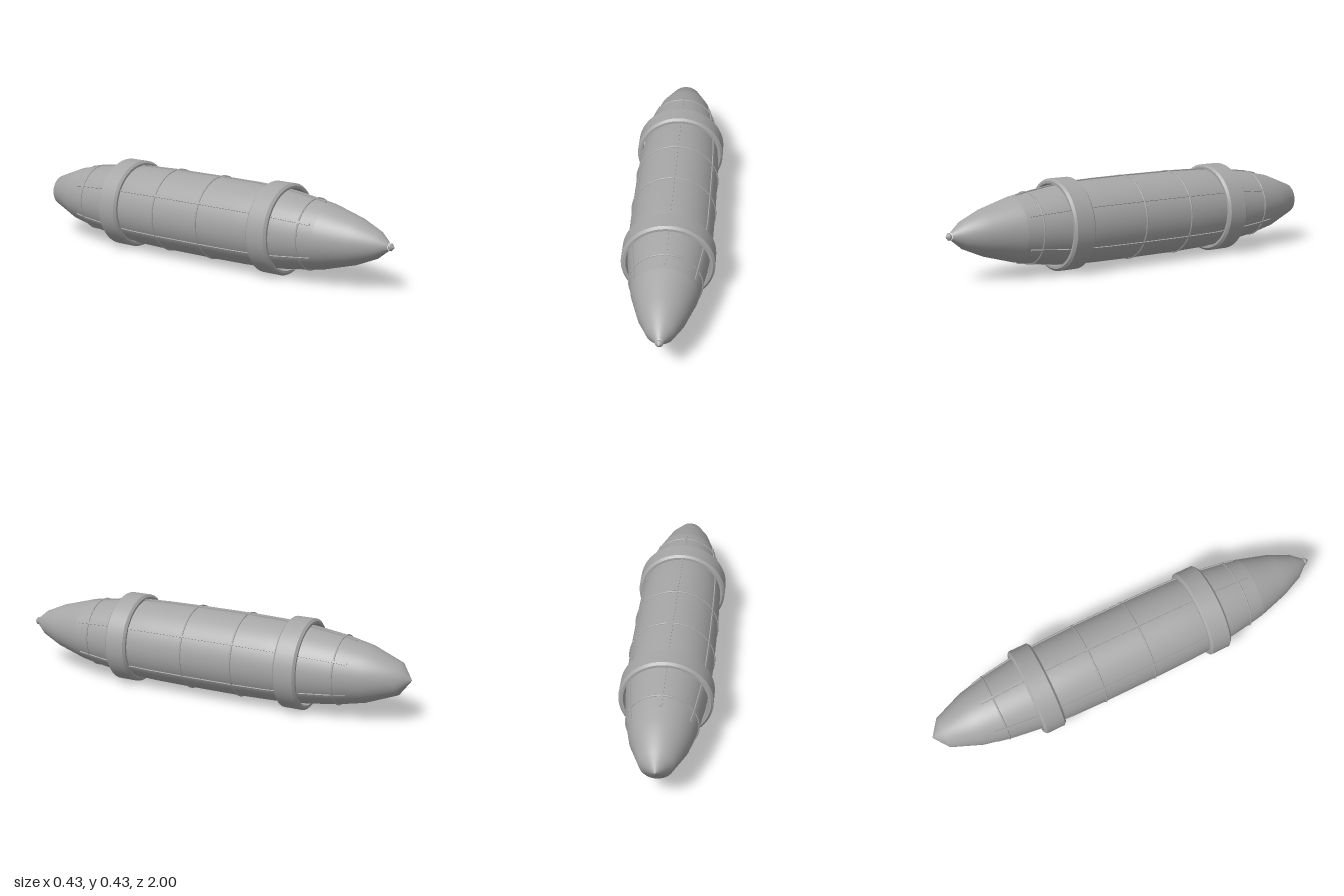
import * as THREE from 'three';

const AXIS_Y = 0.213;

// Hull silhouette as [z, radius], back to front
const BACK = [[-1, 0], [-0.945, 0.075], [-0.8, 0.132], [-0.67, 0.16]];
const MIDDLE = [[-0.67, 0.16], [-0.52, 0.18], [-0.36, 0.192], [-0.2, 0.196], [0.07, 0.196],
  [0.25, 0.194], [0.36, 0.19], [0.47, 0.18], [0.6, 0.161], [0.67, 0.149]];
const FRONT = [[0.67, 0.149], [0.82, 0.106], [0.92, 0.062], [0.975, 0.017]];
const HULL = [...BACK, ...MIDDLE.slice(1), ...FRONT.slice(1)];

// Hull radius at a given z
function radiusAt(z) {
  for (let i = 1; i < HULL.length; i++) {
    const [z0, r0] = HULL[i - 1], [z1, r1] = HULL[i];
    if (z <= z1) return r0 + (r1 - r0) * (z - z0) / (z1 - z0);
  }
  return 0;
}

export function createModel() {
  const model = new THREE.Group();
  const hullGrey = new THREE.MeshStandardMaterial({ color: 0xa6a6a6 });
  hullGrey.name = 'hull grey';

  const body = new THREE.Group();
  body.name = 'body';
  body.position.y = AXIS_Y;
  model.add(body);

  function add(name, geometry, parent = body) {
    const mesh = new THREE.Mesh(geometry, hullGrey);
    mesh.name = name;
    parent.add(mesh);
    return mesh;
  }

  // Surface turned about the z axis from [z, radius] points
  function turned(points, segments = 64) {
    const lathe = new THREE.LatheGeometry(points.map(([z, r]) => new THREE.Vector2(r, z)), segments);
    return lathe.rotateX(Math.PI / 2);
  }

  // Hard-edged turned surface: one lathe strip per profile segment
  function turnedSharp(name, points) {
    const group = new THREE.Group();
    group.name = name;
    for (let i = 1; i < points.length; i++) add(name + 'Face', turned([points[i - 1], points[i]]), group);
    body.add(group);
  }

  // Hull sections
  add('tailCone', turned(BACK));
  add('hullBarrel', turned(MIDDLE));
  add('noseCone', turned(FRONT));
  turnedSharp('noseTip', [[0.972, 0.008], [0.979, 0.017], [0.986, 0.017], [1, 0]]);

  // Two bevelled collars standing just off the hull
  for (const z of [-0.465, 0.41]) {
    const h = 0.055;
    turnedSharp('collar', [
      [z - h, 0.191], [z - h, 0.202], [z - h + 0.01, 0.213], [z + h - 0.01, 0.213],
      [z + h, 0.202], [z + h, 0.191], [z - h, 0.191],
    ]);
  }

  // Thin hoops around the hull
  for (const z of [-0.677, -0.193, 0.066, 0.595]) {
    const hoop = add('hoop', new THREE.TorusGeometry(radiusAt(z) + 0.001, 0.004, 8, 64));
    hoop.position.z = z;
  }

  // Six stringers that follow the hull from tail to nose
  const stops = [-0.735, ...MIDDLE.map(p => p[0]).filter(z => z > -0.73 && z < 0.65), 0.65];
  const outline = [
    ...stops.map(z => new THREE.Vector2(z, radiusAt(z) + 0.005)),
    ...stops.slice().reverse().map(z => new THREE.Vector2(z, radiusAt(z) - 0.008)),
  ];
  const width = 0.01;
  const stringer = new THREE.ExtrudeGeometry(new THREE.Shape(outline), { depth: width, bevelEnabled: false });
  stringer.translate(0, 0, -width / 2).rotateY(-Math.PI / 2);
  for (let i = 0; i < 6; i++) {
    add('stringer', stringer).rotation.z = i * Math.PI / 3;
  }

  return model;
}
